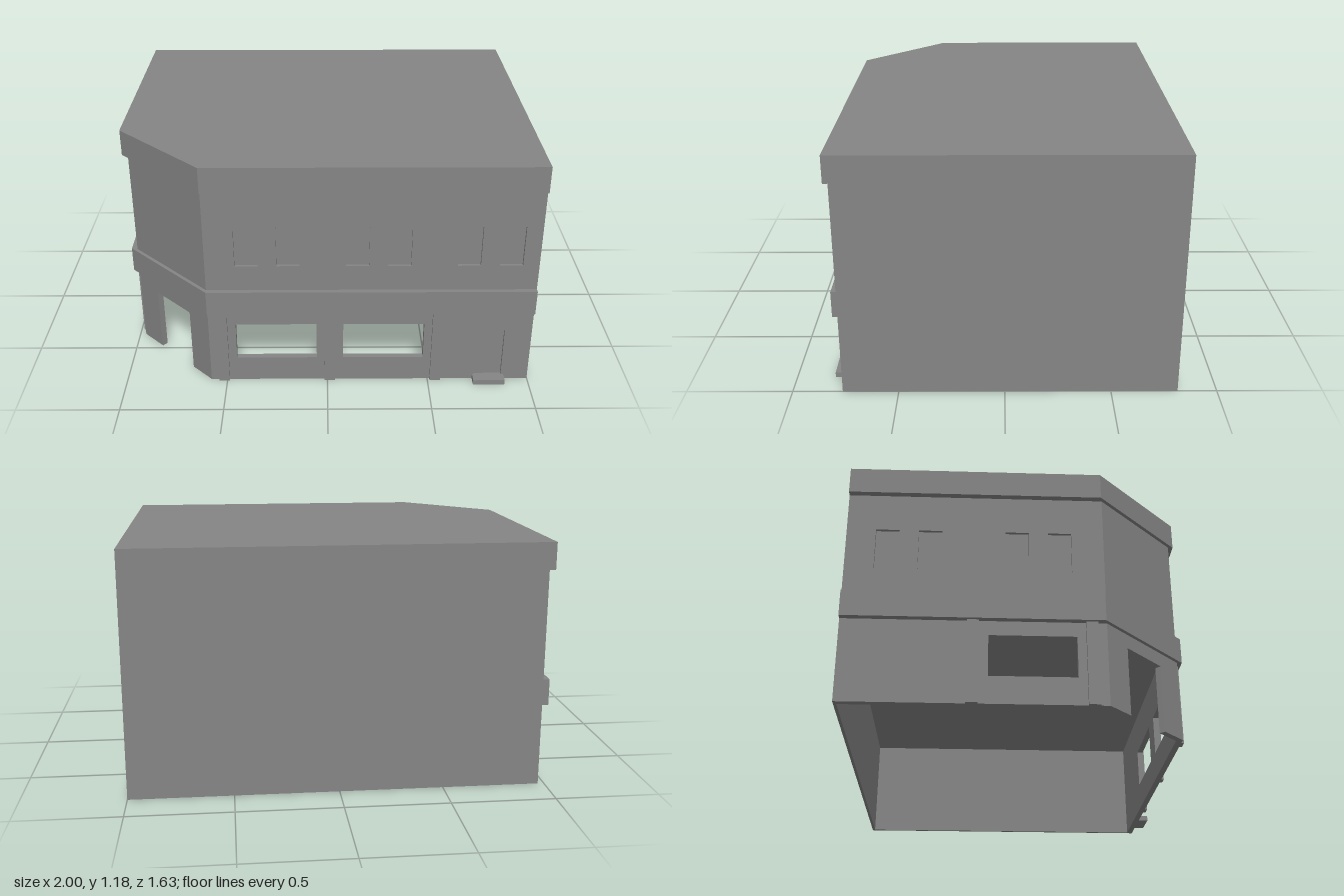
import * as THREE from 'three';

const material = new THREE.MeshStandardMaterial({ color: 0x858585, flatShading: true });

// Plan corners as [x, z]
const WALL = [[1, -0.815], [1, 0.764], [-0.58, 0.764], [-0.97, 0.374], [-0.97, -0.815]];
const CORNICE = [[1, -0.815], [1, 0.788], [-0.58, 0.788], [-1, 0.368], [-1, -0.815]];
const CORE = [[1, -0.815], [1, 0.75], [-0.574, 0.75], [-0.956, 0.368], [-0.956, -0.815]];
const ROOM = [[0.986, -0.801], [0.986, 0.734], [-0.568, 0.734], [-0.94, 0.362], [-0.94, -0.801]];

const BAND_Y = 0.4, FLOOR_Y = 0.528, CORNICE_Y = 1.055, TOP_Y = 1.185;
const SHOP_WALL = 0.03, THIN_WALL = 0.014;

function toPoints(list) {
  return list.map(([x, y]) => new THREE.Vector2(x, y));
}

function rectanglePath([a, b, y0, y1]) {
  return new THREE.Path(toPoints([[a, y0], [b, y0], [b, y1], [a, y1]]));
}

function addMesh(parent, name, geometry) {
  const mesh = new THREE.Mesh(geometry, material);
  mesh.name = name;
  parent.add(mesh);
  return mesh;
}

// Plan outline raised from y0 to y1, optionally hollow
function prism(parent, name, plan, y0, y1, hollow) {
  const shape = new THREE.Shape(toPoints(plan));
  if (hollow) shape.holes.push(new THREE.Path(toPoints(hollow)));
  const geometry = new THREE.ExtrudeGeometry(shape, { depth: y1 - y0, bevelEnabled: false });
  geometry.rotateX(Math.PI / 2).translate(0, y1, 0);
  addMesh(parent, name, geometry);
}

// Upright wall from plan point a to b; its outer face is on that line
function wall(parent, name, a, b, y0, y1, thickness, openings = [], doorway = null) {
  const dx = b[0] - a[0], dz = b[1] - a[1];
  const length = Math.hypot(dx, dz);
  const outline = [[0, y0]];
  if (doorway) {
    const [u0, u1, h] = doorway;
    outline.push([u0, y0], [u0, h], [u1, h], [u1, y0]);
  }
  outline.push([length, y0], [length, y1], [0, y1]);
  const shape = new THREE.Shape(toPoints(outline));
  for (const o of openings) shape.holes.push(rectanglePath(o));
  const geometry = new THREE.ExtrudeGeometry(shape, { depth: thickness, bevelEnabled: false });
  geometry.translate(0, 0, -thickness);
  const mesh = addMesh(parent, name, geometry);
  mesh.position.set(a[0], 0, a[1]);
  mesh.rotation.y = Math.atan2(-dz, dx);
}

function box(parent, name, x0, x1, y0, y1, z0, z1) {
  const mesh = addMesh(parent, name, new THREE.BoxGeometry(x1 - x0, y1 - y0, z1 - z0));
  mesh.position.set((x0 + x1) / 2, (y0 + y1) / 2, (z0 + z1) / 2);
}

export function createModel() {
  const model = new THREE.Group();
  model.name = 'cornerShopBuilding';
  const [backLeft, frontLeft, frontCorner, sideCorner, backRight] = WALL;

  // Distance along each wall from a world coordinate
  const alongFront = (x) => x - frontCorner[0];
  const alongSide = (z) => z - backRight[1];

  // Ground floor: shop walls around an open room
  const ground = new THREE.Group();
  ground.name = 'groundFloor';
  model.add(ground);
  wall(ground, 'frontShopWall', frontCorner, frontLeft, 0, BAND_Y, SHOP_WALL, [
    [alongFront(-0.447), alongFront(-0.053), 0.132, 0.33],
    [alongFront(0.077), alongFront(0.472), 0.132, 0.33],
    [alongFront(0.732), alongFront(0.867), 0.02, 0.29],
  ]);
  wall(ground, 'sideShopWall', backRight, sideCorner, 0, BAND_Y, SHOP_WALL, [
    [alongSide(-0.155), alongSide(0.24), 0.132, 0.33],
  ]);
  wall(ground, 'cornerEntranceWall', sideCorner, frontCorner, 0, BAND_Y, SHOP_WALL, [], [0.148, 0.407, 0.331]);
  wall(ground, 'leftWall', frontLeft, backLeft, 0, BAND_Y, THIN_WALL);
  wall(ground, 'backWall', backLeft, backRight, 0, BAND_Y, THIN_WALL);

  // Side door and its step
  box(ground, 'door', 0.732, 0.867, 0.02, 0.29, 0.734, 0.75);
  box(ground, 'doorStep', 0.724, 0.88, 0, 0.026, 0.755, 0.815);

  // Pilasters beside the shop windows
  for (const x of [-0.541, -0.016, 0.511]) {
    box(ground, 'frontPilaster', x, x + 0.053, 0, BAND_Y, 0.755, 0.777);
  }
  for (const z of [-0.25, 0.28]) {
    box(ground, 'sidePilaster', -0.985, -0.96, 0, BAND_Y, z, z + 0.053);
  }

  // Projecting band over the shop
  prism(model, 'shopBand', CORNICE, BAND_Y, FLOOR_Y, ROOM);

  // Upper floor: thin outer walls with window recesses over a core
  const upper = new THREE.Group();
  upper.name = 'upperFloor';
  model.add(upper);
  prism(upper, 'upperCore', CORE, FLOOR_Y, CORNICE_Y);
  const recess = (u) => [u, u + 0.109, 0.66, 0.868];
  const frontWindows = [-0.439, -0.241, 0.088, 0.286, 0.614, 0.813];
  const sideWindows = [-0.68, -0.482, -0.082, 0.116];
  wall(upper, 'frontUpperWall', frontCorner, frontLeft, FLOOR_Y, CORNICE_Y, THIN_WALL,
    frontWindows.map((x) => recess(alongFront(x))));
  wall(upper, 'sideUpperWall', backRight, sideCorner, FLOOR_Y, CORNICE_Y, THIN_WALL,
    sideWindows.map((z) => recess(alongSide(z))));
  wall(upper, 'cornerUpperWall', sideCorner, frontCorner, FLOOR_Y, CORNICE_Y, THIN_WALL);

  // Cornice with the flat roof
  prism(model, 'corniceAndRoof', CORNICE, CORNICE_Y, TOP_Y);

  return model;
}
